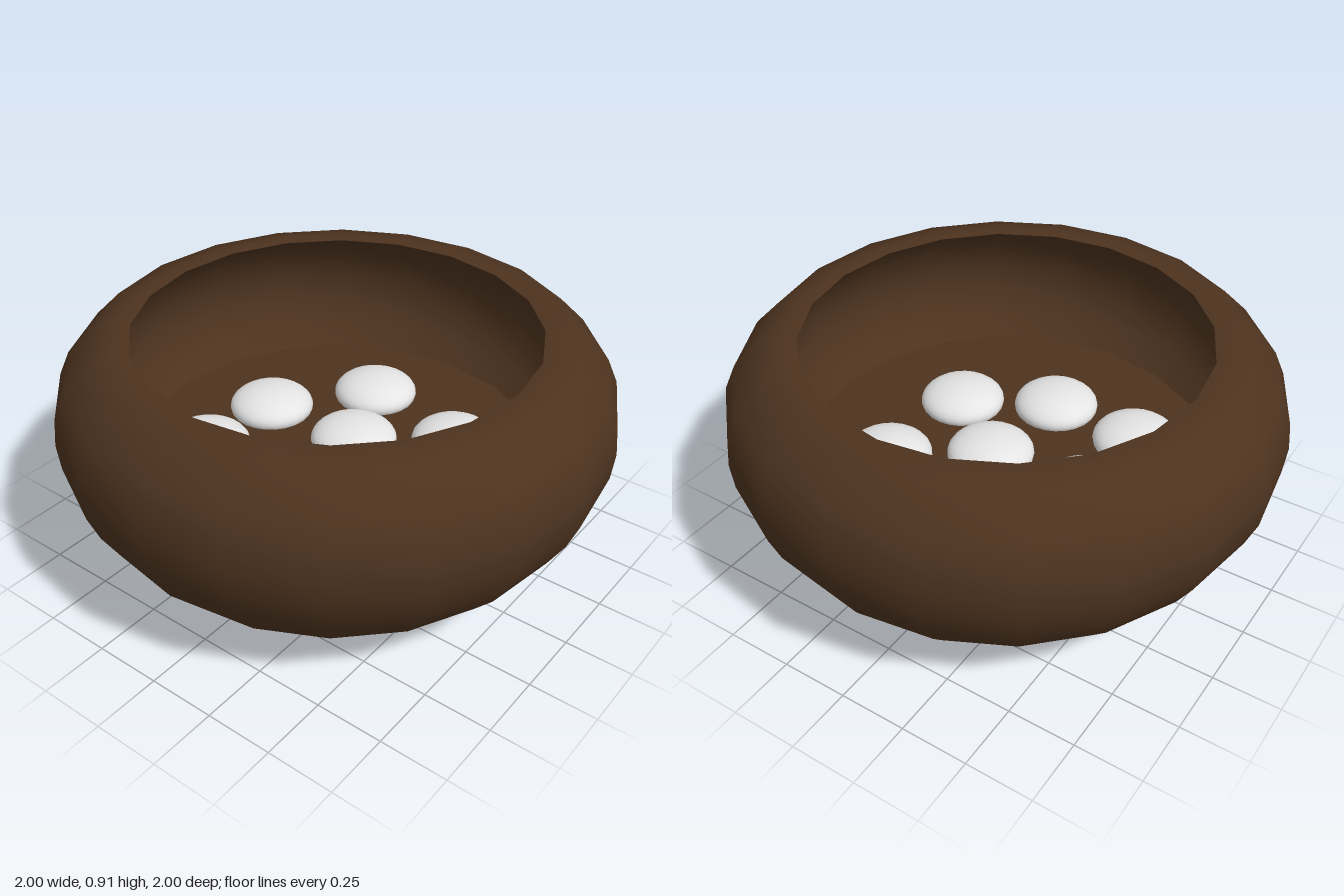
import * as THREE from 'three';

const SIDES = 20;
const FLOOR_Y = 0.4;

export function createModel() {
  const group = new THREE.Group();
  const brown = new THREE.MeshStandardMaterial({ color: 0x4d331f });
  brown.name = 'dark brown';
  const white = new THREE.MeshStandardMaterial({ color: 0xe4e4e4 });
  white.name = 'off white';

  const add = (name, geometry, material) => {
    const mesh = new THREE.Mesh(geometry, material);
    mesh.name = name;
    group.add(mesh);
    return mesh;
  };
  const lathe = (points) =>
    new THREE.LatheGeometry(points.map(([r, y]) => new THREE.Vector2(r, y)), SIDES);

  // Rounded outer wall, from the underside up over the rim
  add('outerBowl', lathe([
    [0, 0], [0.38, 0.002], [0.45, 0.01], [0.59, 0.06], [0.71, 0.13], [0.81, 0.21],
    [0.89, 0.3], [0.95, 0.4], [0.99, 0.5], [1, 0.6], [0.99, 0.7], [0.95, 0.79],
    [0.85, 0.89], [0.77, 0.907], [0.72, 0.902],
  ]), brown);

  // Hollow inner wall, bulging out below the rim
  add('innerBowl', lathe([
    [0.72, 0.902], [0.79, 0.86], [0.86, 0.77], [0.89, 0.67], [0.88, 0.57],
    [0.84, 0.48], [0.76, FLOOR_Y],
  ]), brown);

  // Level floor inside the bowl
  add('floor', lathe([[0.76, FLOOR_Y], [0, FLOOR_Y]]), brown);

  // Flattened pebbles half sunk in the floor
  const pebble = new THREE.SphereGeometry(0.16, 24, 16);
  const spots = [
    [-0.105, -0.385], [0.33, -0.285], [-0.365, -0.06], [0.025, -0.07],
    [0.3, 0.145], [-0.38, 0.29], [-0.02, 0.315],
  ];
  for (const [x, z] of spots) {
    const mesh = add('pebble', pebble, white);
    mesh.position.set(x, FLOOR_Y + 0.018, z);
    mesh.scale.y = 0.45;
  }
  return group;
}
